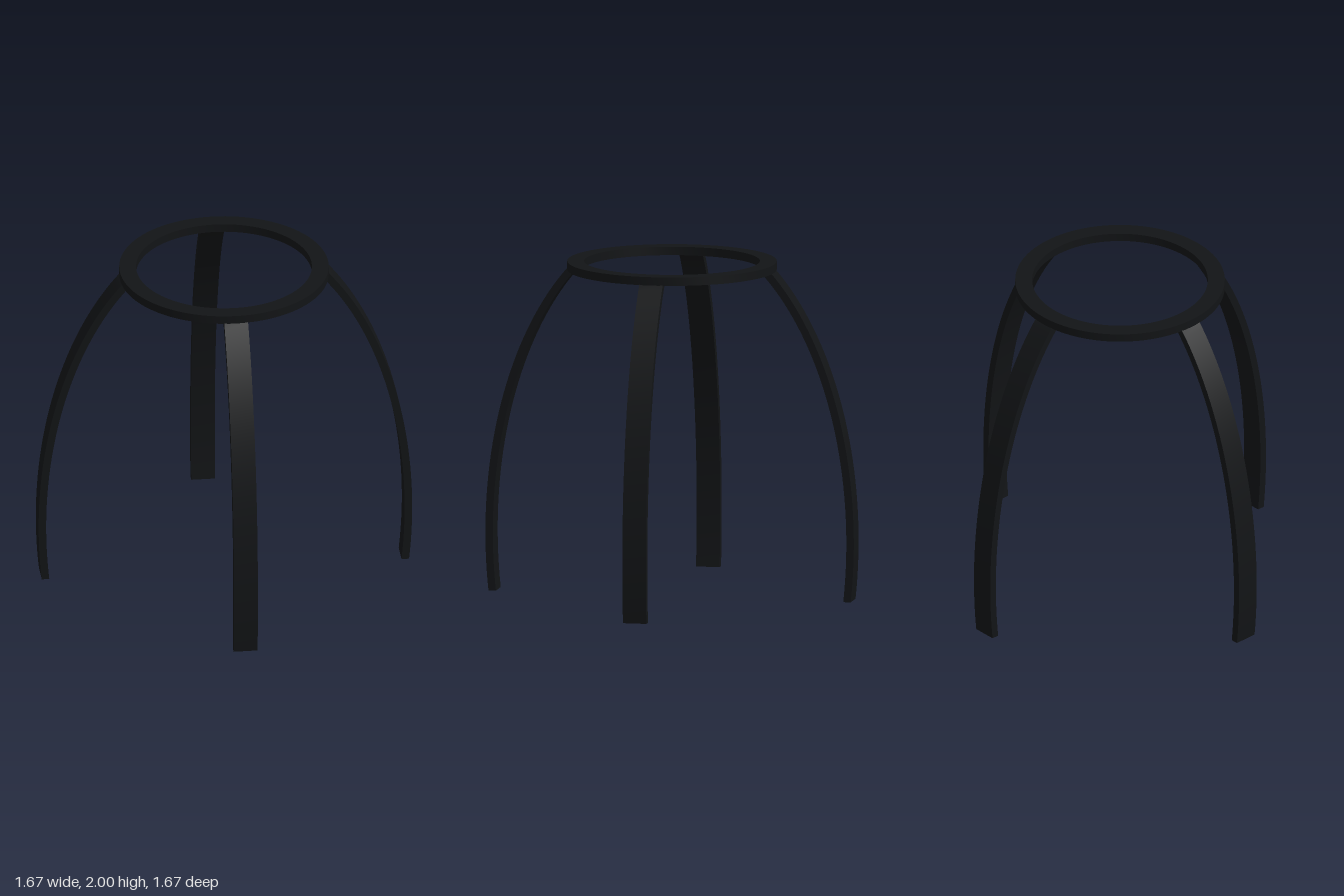
import * as THREE from 'three';
import { toCreasedNormals } from 'three/addons/utils/BufferGeometryUtils.js';

const material = new THREE.MeshStandardMaterial({ color: 0x121416 });

// Flat shape pushed out to a depth, smooth along its curves, sharp at its edges
function extrude(shape, depth, curveSegments = 12) {
  const geometry = new THREE.ExtrudeGeometry(shape, { depth, bevelEnabled: false, curveSegments });
  return toCreasedNormals(geometry, 0.5);
}

// Flat ring on top
function createRing() {
  const shape = new THREE.Shape().absarc(0, 0, 0.62, 0, Math.PI * 2, false);
  shape.holes.push(new THREE.Path().absarc(0, 0, 0.52, 0, Math.PI * 2, true));
  const geometry = extrude(shape, 0.05, 48);
  geometry.rotateX(-Math.PI / 2).translate(0, 1.95, 0);
  const ring = new THREE.Mesh(geometry, material);
  ring.name = 'topRing';
  return ring;
}

// Curved flat bar following an elliptical arc, from the floor into the ring
function createLegGeometry() {
  const a = 1.09, b = 1.9, centreY = 0.35, top = 1.975;
  const thickness = 0.045, width = 0.142, steps = 36;
  const start = Math.asin(-centreY / b);
  const end = Math.asin((top - centreY) / b);
  const outer = [], inner = [];
  for (let i = 0; i <= steps; i++) {
    const t = start + (end - start) * i / steps;
    const p = new THREE.Vector2(a * Math.cos(t), centreY + b * Math.sin(t));
    const n = new THREE.Vector2(b * Math.cos(t), a * Math.sin(t)).normalize();
    for (const [edge, side] of [[outer, 0.5], [inner, -0.5]]) {
      const q = p.clone().addScaledVector(n, side * thickness);
      q.y = THREE.MathUtils.clamp(q.y, 0, top);
      edge.push(q);
    }
  }
  // Level foot
  outer[0].y = inner[0].y = 0;
  const geometry = extrude(new THREE.Shape([...outer, ...inner.reverse()]), width);
  return geometry.translate(0, 0, -width / 2);
}

export function createModel() {
  const model = new THREE.Group();
  model.name = 'ringStand';
  model.add(createRing());

  // Four legs on the diagonals
  const legGeometry = createLegGeometry();
  const names = ['backLeftLeg', 'backRightLeg', 'frontRightLeg', 'frontLeftLeg'];
  names.forEach((name, i) => {
    const leg = new THREE.Mesh(legGeometry, material);
    leg.name = name;
    leg.rotation.y = Math.PI / 4 + i * Math.PI / 2;
    model.add(leg);
  });
  return model;
}
